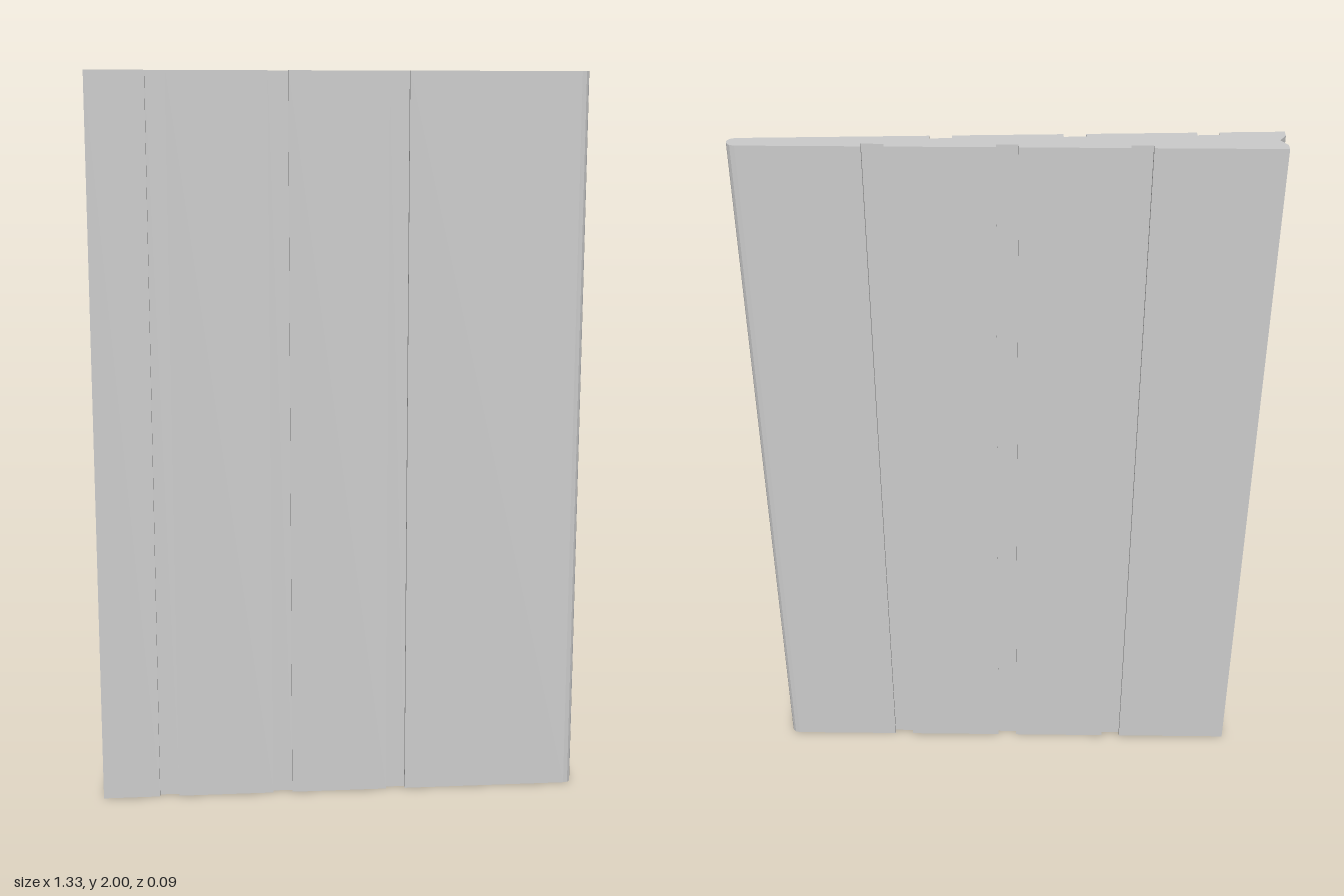
import * as THREE from 'three';

const HEIGHT = 2;
const LEFT = -0.667, NOSE = 0.645;
const GROOVE_WIDTH = 0.054, GROOVE_DEPTH = 0.014;

// Half thickness of the tapered board at x
const half = (x) => THREE.MathUtils.mapLinear(x, LEFT, NOSE, 0.046, 0.02);

// One face of the board, left to right, with square grooves at the given starts
function face(starts, side) {
  const points = [[LEFT, side * half(LEFT)]];
  for (const a of starts) {
    const b = a + GROOVE_WIDTH;
    points.push(
      [a, side * half(a)],
      [a, side * (half(a) - GROOVE_DEPTH)],
      [b, side * (half(b) - GROOVE_DEPTH)],
      [b, side * half(b)]
    );
  }
  points.push([NOSE, side * half(NOSE)]);
  return points;
}

export function createModel() {
  const group = new THREE.Group();
  group.name = 'groovedPlank';
  const grey = new THREE.MeshStandardMaterial({ color: 0xcccccc });
  grey.name = 'light grey';

  // Rounded tongue on the thin edge
  const tongue = [[0.657, -0.017], [0.664, -0.01], [0.667, 0], [0.664, 0.01], [0.657, 0.017]];
  // V-shaped notch in the thick edge
  const notch = [[LEFT, 0.025], [-0.65, 0], [LEFT, -0.025]];

  // Closed cross-section: front face, tongue, back face, notch
  const outline = [
    ...face([-0.51, -0.19, 0.131], -1),
    ...tongue,
    ...face([-0.348, -0.028, 0.292], 1).reverse(),
    ...notch,
  ].map(([x, y]) => new THREE.Vector2(x, y));

  const geometry = new THREE.ExtrudeGeometry(new THREE.Shape(outline), {
    depth: HEIGHT,
    bevelEnabled: false,
  });
  geometry.rotateX(-Math.PI / 2);

  const plank = new THREE.Mesh(geometry, grey);
  plank.name = 'plank';
  group.add(plank);
  return group;
}
